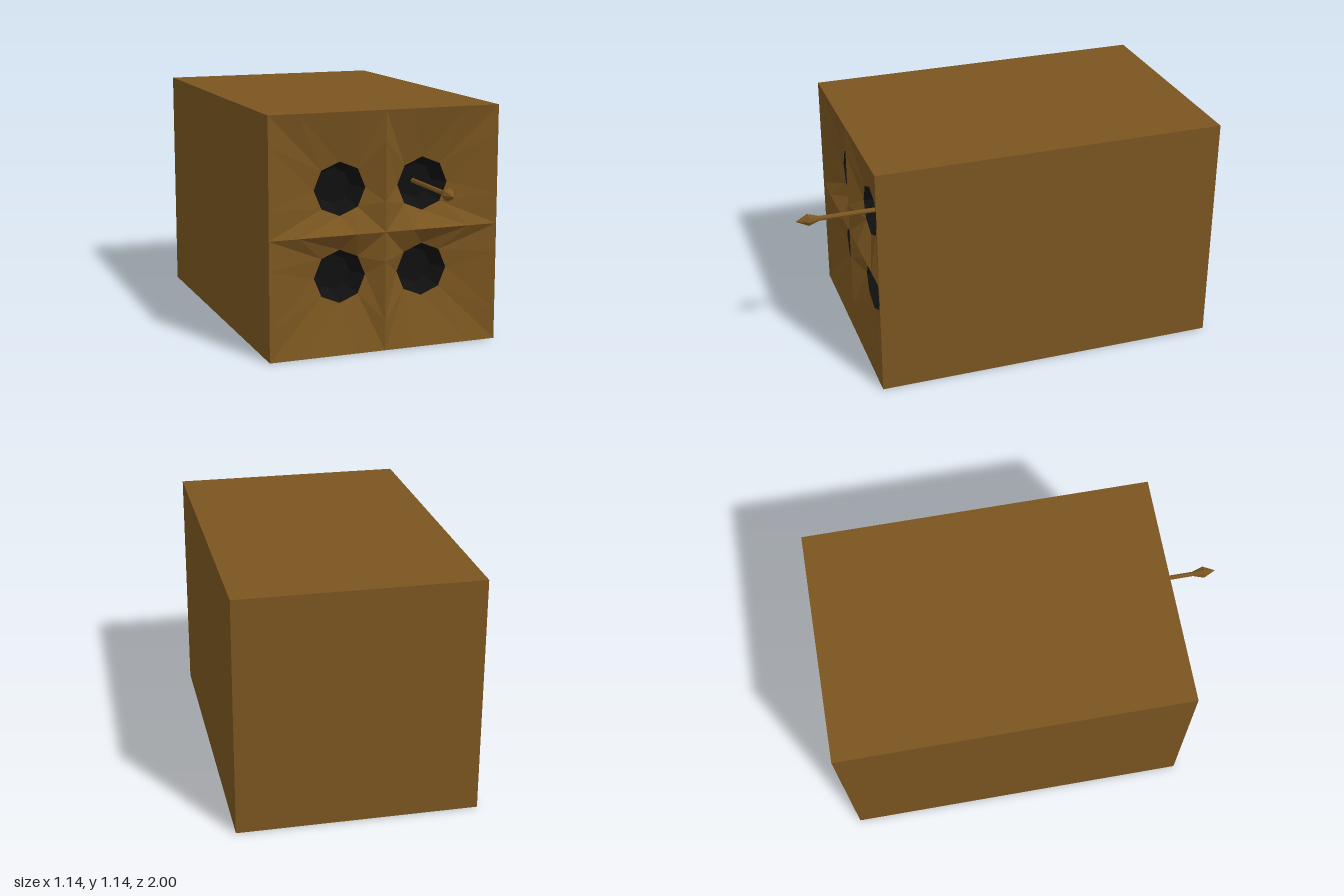
import * as THREE from 'three';

const HALF = 0.57, FRONT = 0.70, RING_Z = 0.64, FLOOR_Z = 0.55;
const HOLE = 0.207, HOLE_R = 0.127;

function add(parent, name, geometry, material) {
  const mesh = new THREE.Mesh(geometry, material);
  mesh.name = name;
  parent.add(mesh);
  return mesh;
}

// Shallow funnel from a square quarter of the front down to an eight-sided hole
function funnelGeometry(sx, sy) {
  const h = HALF / 2;
  const steps = [[1, 0], [1, 0.5], [1, 1], [0.5, 1]];
  const rim = (j) => {
    let [x, y] = steps[((j % 4) + 4) % 4];
    const turns = (((Math.floor(j / 4)) % 4) + 4) % 4;
    for (let i = 0; i < turns; i++) [x, y] = [-y, x];
    return [sx * h + x * h, HALF + sy * h + y * h, FRONT];
  };
  const ring = (k) => {
    const a = k * Math.PI / 4;
    return [sx * HOLE + Math.cos(a) * HOLE_R, HALF + sy * HOLE + Math.sin(a) * HOLE_R, RING_Z];
  };
  const pos = [];
  for (let k = 0; k < 8; k++) {
    const j = 2 * k;
    pos.push(...ring(k), ...rim(j - 1), ...rim(j));
    pos.push(...ring(k), ...rim(j), ...rim(j + 1));
    pos.push(...ring(k), ...rim(j + 1), ...ring(k + 1));
  }
  const g = new THREE.BufferGeometry();
  g.setAttribute('position', new THREE.Float32BufferAttribute(pos, 3));
  g.computeVertexNormals();
  return g;
}

// Round profile of [radius, z] pairs turned about the z axis
function turned(profile, sides) {
  return new THREE.LatheGeometry(profile.map(([r, z]) => new THREE.Vector2(r, z)), sides)
    .rotateX(Math.PI / 2);
}

export function createModel() {
  const group = new THREE.Group();
  const brown = new THREE.MeshStandardMaterial({ color: 0x7a5520, flatShading: true });
  const brownOpen = brown.clone();
  brownOpen.side = THREE.DoubleSide;
  const black = new THREE.MeshStandardMaterial({
    color: 0x101010, flatShading: true, side: THREE.DoubleSide,
  });

  // Block with its front face left out
  const block = new THREE.BoxGeometry(2 * HALF, 2 * HALF, FRONT + 1);
  const index = Array.from(block.index.array);
  index.splice(24, 6);
  block.setIndex(index);
  block.clearGroups();
  add(group, 'block', block, brown).position.set(0, HALF, (FRONT - 1) / 2);

  // Four funnels, each with a dark bowl
  for (const sx of [-1, 1]) {
    for (const sy of [-1, 1]) {
      add(group, 'frontFunnel', funnelGeometry(sx, sy), brown);
      const bowl = turned([[HOLE_R, RING_Z], [0.085, FLOOR_Z], [0, FLOOR_Z]], 8);
      add(group, 'holeBowl', bowl, black).position.set(sx * HOLE, HALF + sy * HOLE, 0);
    }
  }

  // Dart standing out of the upper hole on the model's left
  const dart = new THREE.Group();
  dart.name = 'dart';
  dart.position.set(0.2, 0.775, 0);
  add(dart, 'dartShaft', turned([[0.012, FLOOR_Z], [0.012, 0.885]], 8), brownOpen);
  add(dart, 'dartHead', turned([[0.012, 0.885], [0.03, 0.94], [0, 1]], 8), brownOpen);
  group.add(dart);

  return group;
}
